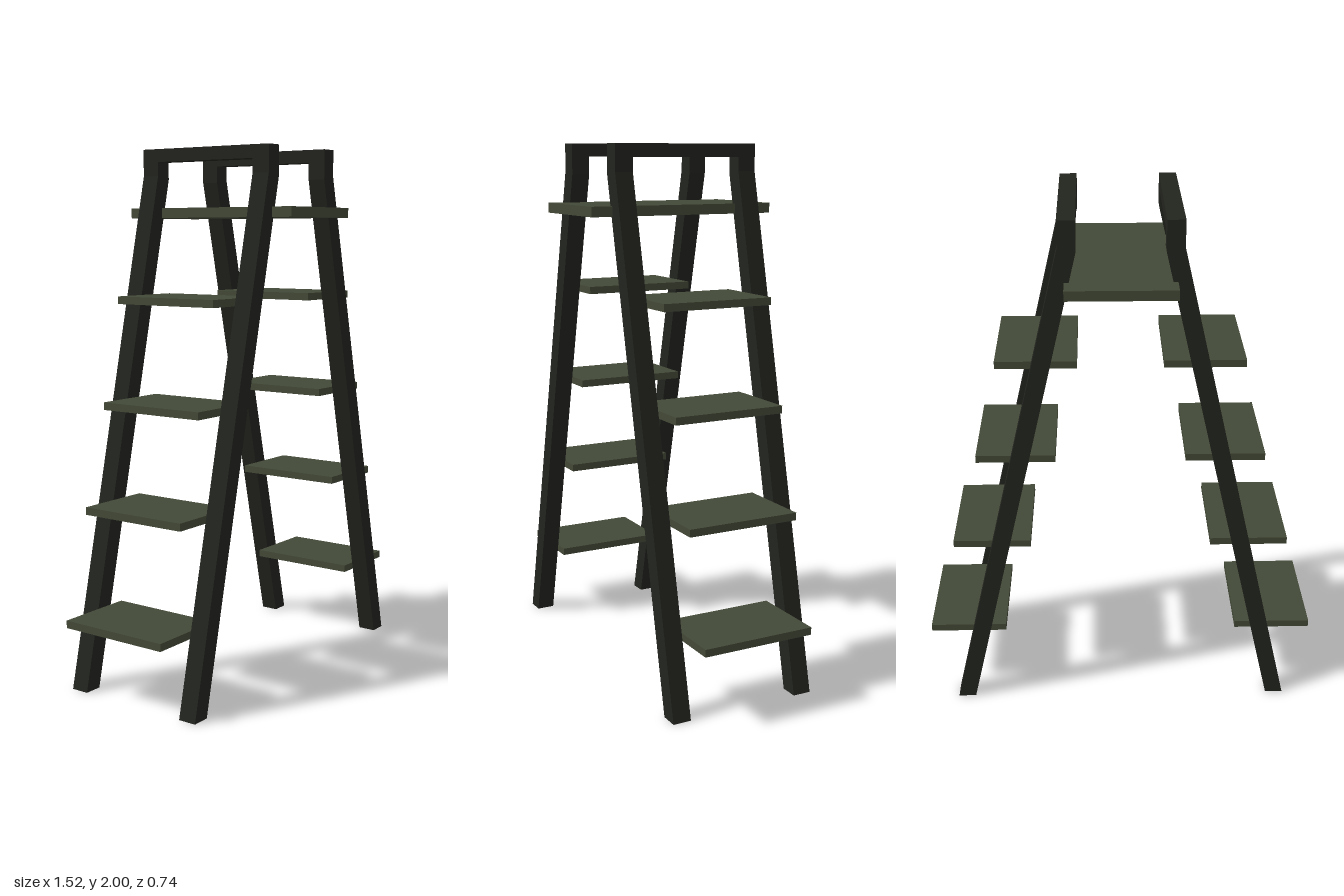
import * as THREE from 'three';

const railMat = new THREE.MeshStandardMaterial({ color: 0x22241e });
const stepMat = new THREE.MeshStandardMaterial({ color: 0x41463a });
stepMat.color.set(0x434937);

const RAIL_IN = 0.218, RAIL_OUT = 0.288; // rail extent in z
const TOP_IN = 0.154, TOP_OUT = 0.218;   // upright part of the rail in x

function board(name, mat, x0, x1, y0, y1, halfDepth) {
  const mesh = new THREE.Mesh(new THREE.BoxGeometry(x1 - x0, y1 - y0, halfDepth * 2), mat);
  mesh.position.set((x0 + x1) / 2, (y0 + y1) / 2, 0);
  mesh.name = name;
  return mesh;
}

// Slanted leg that bends upright near the top, seen from the front
function railGeometry(side) {
  const pts = [[0.592, 0], [0.66, 0], [TOP_OUT, 1.9], [TOP_OUT, 2], [TOP_IN, 2], [TOP_IN, 1.888]];
  const shape = new THREE.Shape(pts.map(([x, y]) => new THREE.Vector2(side * x, y)));
  return new THREE.ExtrudeGeometry(shape, { depth: RAIL_OUT - RAIL_IN, bevelEnabled: false });
}

// One ladder: two rails, a top handle bar and four treads
function ladder(side) {
  const group = new THREE.Group();
  group.name = side > 0 ? 'leftLadder' : 'rightLadder';
  for (const z of [RAIL_IN, -RAIL_OUT]) {
    const rail = new THREE.Mesh(railGeometry(side), railMat);
    rail.position.z = z;
    rail.name = z > 0 ? 'frontRail' : 'backRail';
    group.add(rail);
  }
  const bar = board('handleBar', railMat, TOP_IN, TOP_OUT, 1.952, 2, RAIL_IN);
  bar.position.x *= side;
  group.add(bar);

  // [tread centre x, tread centre y]
  for (const [x, y] of [[0.61, 0.29], [0.498, 0.687], [0.393, 1.06], [0.306, 1.443]]) {
    const tread = board('tread', stepMat, x - 0.149, x + 0.149, y - 0.014, y + 0.014, RAIL_IN);
    tread.position.x *= side;
    group.add(tread);
  }
  return group;
}

export function createModel() {
  const model = new THREE.Group();
  model.name = 'stepladder';
  model.add(ladder(1), ladder(-1));
  // Platform bridging the two ladders
  model.add(board('topPlatform', stepMat, -0.196, 0.196, 1.744, 1.781, 0.37));
  // Very slight turn about the vertical axis
  model.rotation.y = -0.009;
  return model;
}
